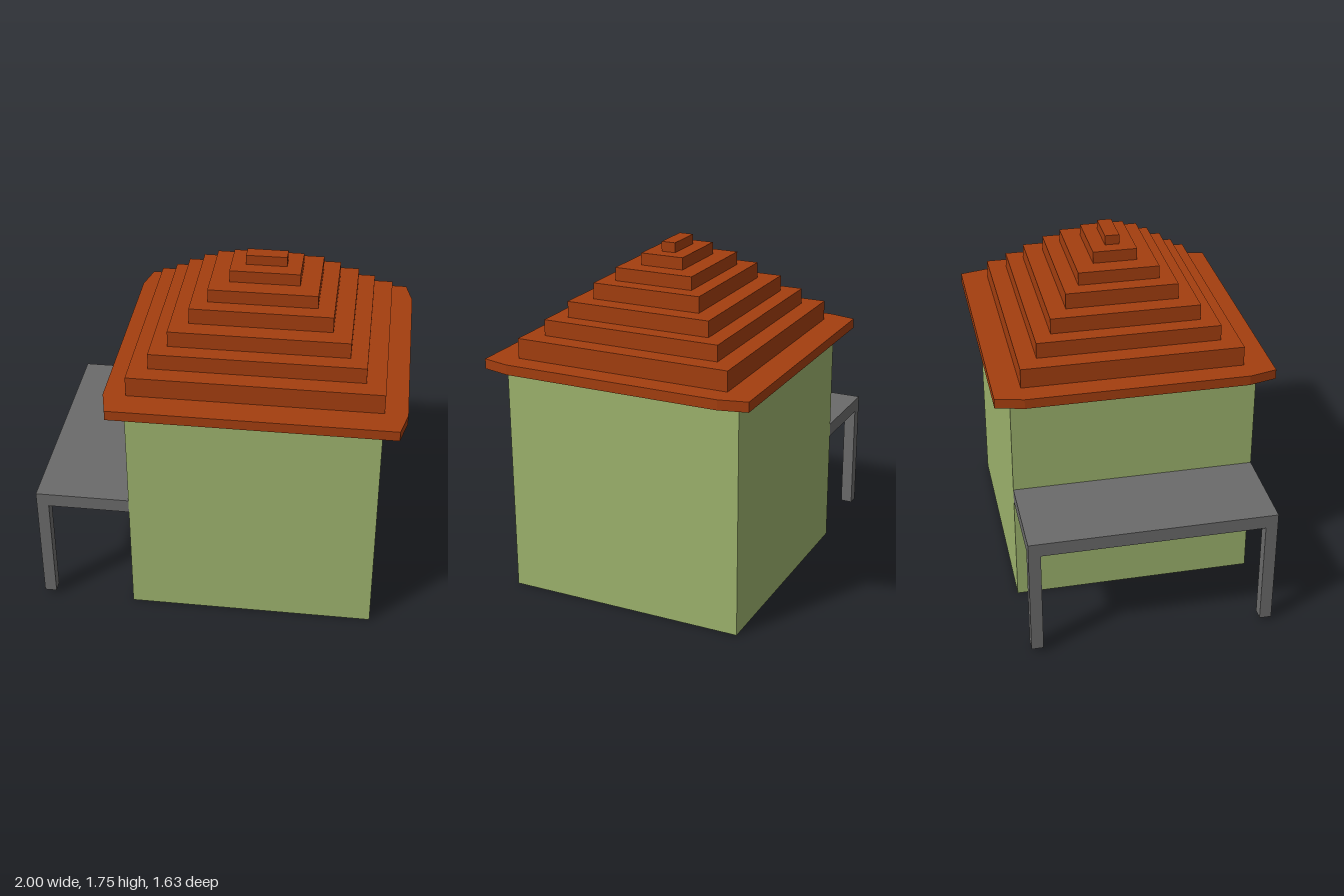
import * as THREE from 'three';

export function createModel() {
  const wallGreen = new THREE.MeshStandardMaterial({ name: 'wall green', color: 0x9db36d });
  const roofRust = new THREE.MeshStandardMaterial({ name: 'roof rust', color: 0xa43e0f });
  const porchGrey = new THREE.MeshStandardMaterial({ name: 'porch grey', color: 0x6b6b6b });

  const model = new THREE.Group();
  model.name = 'house';

  // The whole house is turned slightly on its plot
  const house = new THREE.Group();
  house.name = 'turnedHouse';
  house.position.x = 0.18;
  house.rotation.y = Math.atan(0.2);
  model.add(house);

  const box = (name, material, w, d, y0, y1, x = 0, z = 0) => {
    const mesh = new THREE.Mesh(new THREE.BoxGeometry(w, y1 - y0, d), material);
    mesh.name = name;
    mesh.position.set(x, (y0 + y1) / 2, z);
    house.add(mesh);
  };

  // Walls
  const half = 0.612;
  box('walls', wallGreen, half * 2, half * 2, 0, 1.18);

  // Eave slab with sides that taper at the corners
  const outline = [
    [-0.69, -0.69], [0.69, -0.69], [0.724, -0.55], [0.724, 0.55],
    [0.69, 0.69], [-0.69, 0.69], [-0.724, 0.55], [-0.724, -0.55],
  ].map(([x, y]) => new THREE.Vector2(x, y));
  const eaveGeometry = new THREE.ExtrudeGeometry(new THREE.Shape(outline), { depth: 0.05, bevelEnabled: false });
  eaveGeometry.rotateX(-Math.PI / 2);
  const eave = new THREE.Mesh(eaveGeometry, roofRust);
  eave.name = 'eave';
  eave.position.set(0, 1.18, -0.004);
  house.add(eave);

  // Stepped roof tiers: half width, half depth, top height
  const tiers = [
    [0.614, 0.55, 1.33], [0.52, 0.457, 1.41], [0.438, 0.373, 1.49], [0.347, 0.281, 1.57],
    [0.266, 0.203, 1.636], [0.172, 0.111, 1.696], [0.1, 0.036, 1.745],
  ];
  let base = 1.23;
  tiers.forEach(([hx, hz, top], i) => {
    box(`roofTier${i + 1}`, roofRust, hx * 2, hz * 2, base, top, 0, -0.006);
    base = top;
  });

  // Side porch roof and its two posts
  const outer = -1.08;
  box('porchRoof', porchGrey, -half - outer, half * 2, 0.58, 0.65, (outer - half) / 2);
  for (const side of [-1, 1]) {
    box(side > 0 ? 'frontPorchPost' : 'backPorchPost', porchGrey, 0.06, 0.06, 0.02, 0.58,
      outer + 0.03, side * (half - 0.03));
  }
  return model;
}
